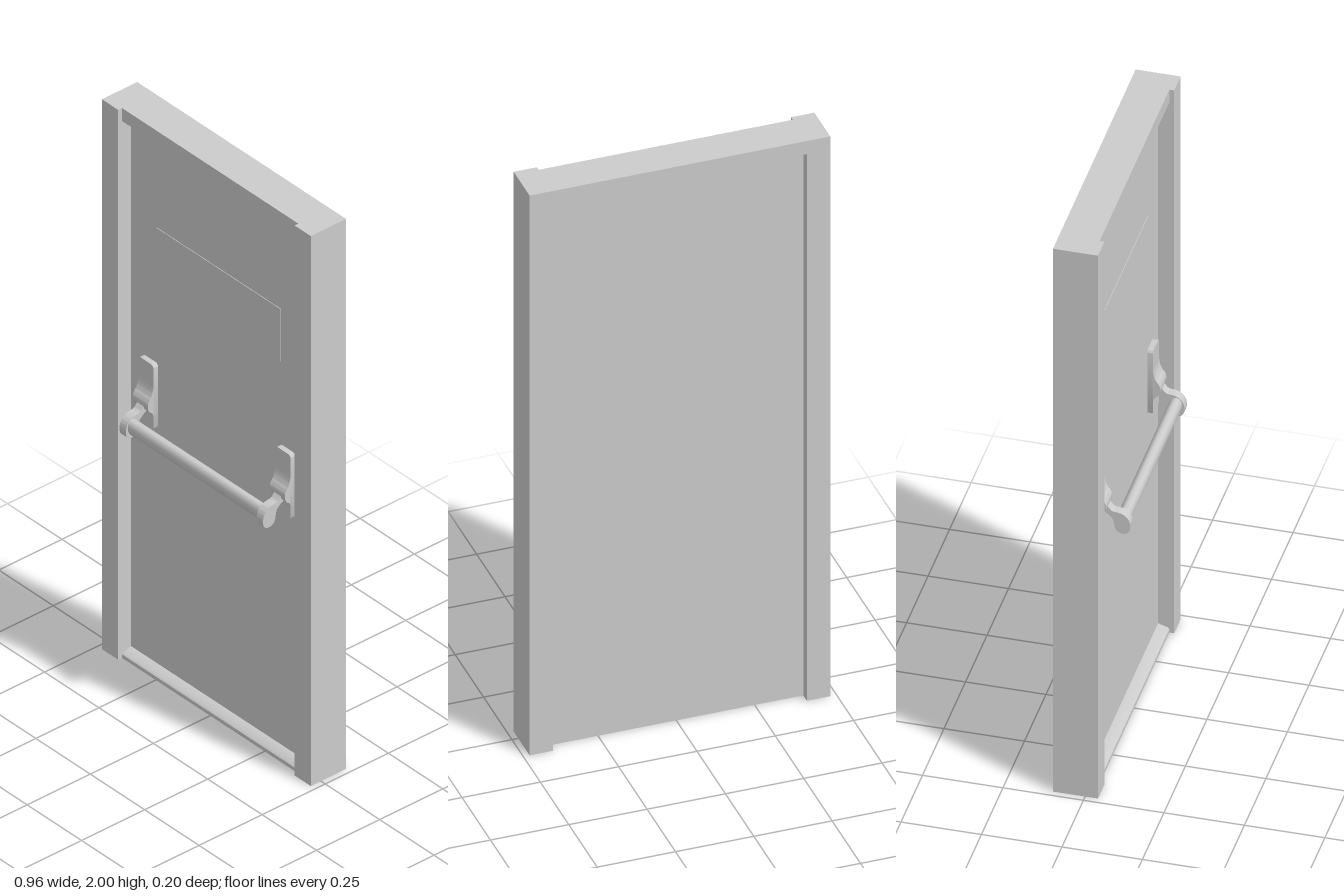
import * as THREE from 'three';
import { toCreasedNormals } from 'three/addons/utils/BufferGeometryUtils.js';

const grey = new THREE.MeshStandardMaterial({ color: 0xcccccc });

function add(parent, name, geometry) {
  const mesh = new THREE.Mesh(geometry, grey);
  mesh.name = name;
  parent.add(mesh);
  return mesh;
}

// Box given by its limits on each axis
function block(parent, name, [x0, x1], [y0, y1], [z0, z1]) {
  const geometry = new THREE.BoxGeometry(x1 - x0, y1 - y0, z1 - z0);
  geometry.translate((x0 + x1) / 2, (y0 + y1) / 2, (z0 + z1) / 2);
  return add(parent, name, geometry);
}

// Extrudes a side profile, drawn as (z, y), along x and centres it on x
function sideExtrude(shape, width, x = 0) {
  const geometry = new THREE.ExtrudeGeometry(shape, { depth: width, bevelEnabled: false, curveSegments: 12 });
  geometry.rotateY(-Math.PI / 2);
  geometry.translate(x + width / 2, 0, 0);
  return toCreasedNormals(geometry, 0.6);
}

function roundedRect(x0, x1, y0, y1, r) {
  const s = new THREE.Shape();
  s.absarc(x1 - r, y0 + r, r, -Math.PI / 2, 0);
  s.absarc(x1 - r, y1 - r, r, 0, Math.PI / 2);
  s.absarc(x0 + r, y1 - r, r, Math.PI / 2, Math.PI);
  s.absarc(x0 + r, y0 + r, r, Math.PI, Math.PI * 1.5);
  s.closePath();
  return s;
}

function createBracket(side) {
  const bracket = new THREE.Group();
  bracket.name = side > 0 ? 'leftBracket' : 'rightBracket';

  // Mounting plate on the door
  const plate = new THREE.ExtrudeGeometry(roundedRect(-0.035, 0.035, 0.885, 1.12, 0.012),
    { depth: 0.018, bevelEnabled: false, curveSegments: 6 });
  plate.translate(0, 0, -0.01);
  add(bracket, 'mountingPlate', toCreasedNormals(plate, 0.6));

  // Swelling that carries the hinge of the arm
  const hump = new THREE.Shape();
  hump.moveTo(0, 1.045);
  hump.lineTo(0.008, 1.045);
  hump.quadraticCurveTo(0.011, 1.015, 0.022, 1.003);
  hump.bezierCurveTo(0.034, 0.992, 0.034, 0.962, 0.018, 0.952);
  hump.quadraticCurveTo(0.01, 0.948, 0.008, 0.935);
  hump.lineTo(0, 0.935);
  hump.closePath();
  add(bracket, 'hingeHousing', sideExtrude(hump, 0.07));

  // Arm curving down into the leaf-shaped end of the bar
  const arm = new THREE.Shape();
  arm.moveTo(0.012, 0.985);
  arm.bezierCurveTo(0.03, 0.985, 0.032, 0.957, 0.05, 0.955);
  arm.bezierCurveTo(0.085, 0.955, 0.1, 0.935, 0.1, 0.907);
  arm.bezierCurveTo(0.099, 0.88, 0.083, 0.878, 0.07, 0.88);
  arm.bezierCurveTo(0.046, 0.885, 0.052, 0.915, 0.046, 0.927);
  arm.quadraticCurveTo(0.035, 0.945, 0.012, 0.953);
  arm.closePath();
  add(bracket, 'pushArm', sideExtrude(arm, 0.03));

  // The arm lines up with the middle of its plate
  bracket.position.x = side * 0.315;
  return bracket;
}

export function createModel() {
  const model = new THREE.Group();
  model.name = 'emergencyDoor';

  // Frame
  const frame = new THREE.Group();
  frame.name = 'doorFrame';
  model.add(frame);
  block(frame, 'leftJamb', [0.405, 0.48], [0, 2], [-0.1, 0.04]);
  block(frame, 'rightJamb', [-0.48, -0.405], [0, 2], [-0.1, 0.04]);
  block(frame, 'frameHead', [-0.405, 0.405], [1.953, 2], [-0.1, 0.025]);

  // Sloping sill
  const sill = new THREE.Shape([
    [-0.068, 0], [0.025, 0], [0.025, 0.013], [0.02, 0.018], [-0.01, 0.028], [-0.068, 0.028],
  ].map(([z, y]) => new THREE.Vector2(z, y)));
  add(frame, 'threshold', sideExtrude(sill, 0.81));

  // Door leaf with a thin plate on its front
  block(model, 'doorLeaf', [-0.405, 0.405], [0.003, 1.953], [-0.07, -0.01]);
  block(model, 'doorPlate', [-0.285, 0.285], [1.42, 1.612], [-0.01, -0.008]);

  // Push bar
  const pushBar = new THREE.Group();
  pushBar.name = 'pushBar';
  model.add(pushBar);
  pushBar.add(createBracket(1), createBracket(-1));
  const rod = new THREE.Shape();
  rod.absellipse(0.071, 0.915, 0.021, 0.031, 0, Math.PI * 2, false, -0.25);
  add(pushBar, 'barTube', sideExtrude(rod, 0.61));

  return model;
}
